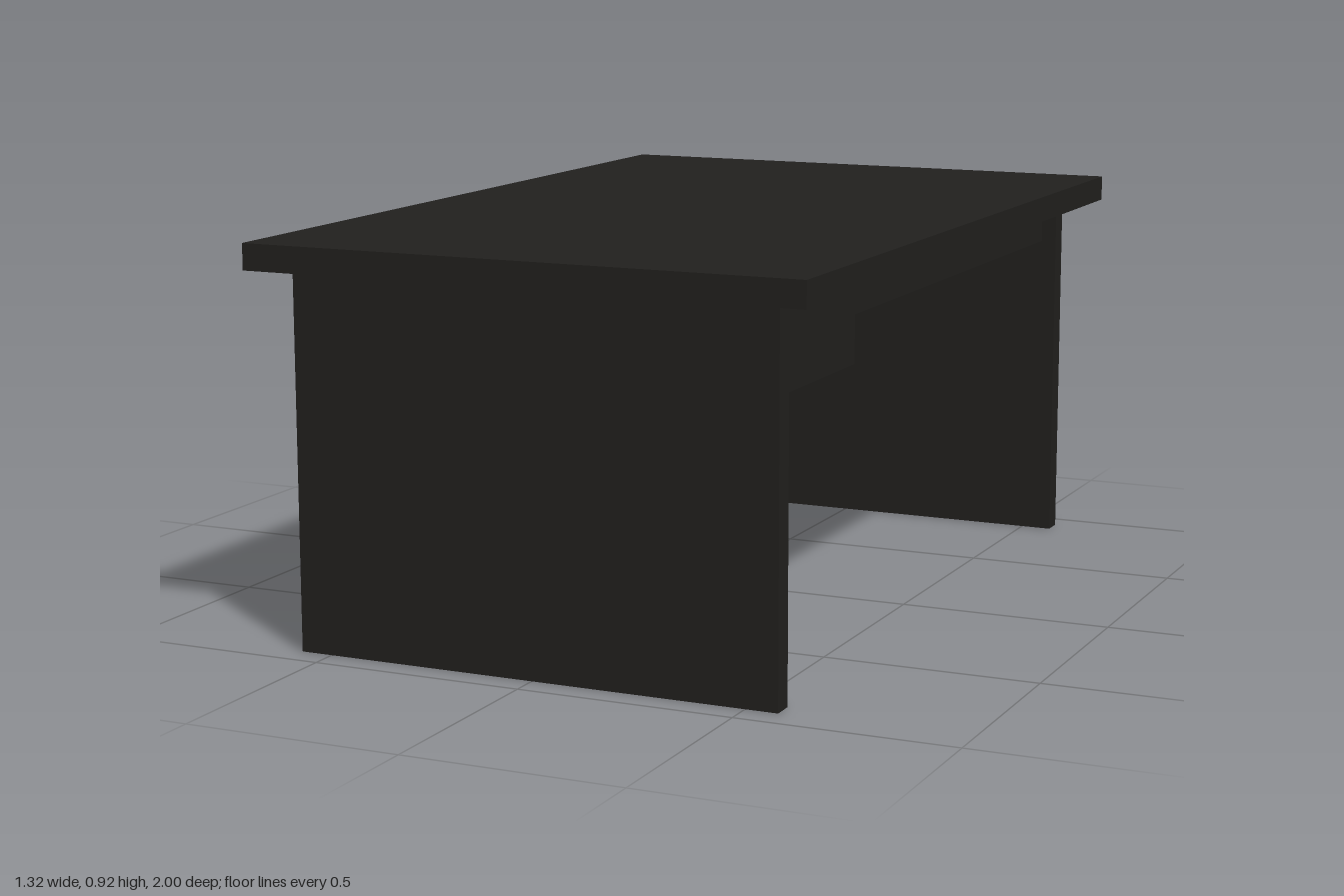
import * as THREE from 'three';

export function createModel() {
  const group = new THREE.Group();
  const material = new THREE.MeshStandardMaterial({ color: 0x21201e });

  // Box standing on height y0 and reaching y1
  function addBoard(name, width, y0, y1, depth, z = 0) {
    const mesh = new THREE.Mesh(new THREE.BoxGeometry(width, y1 - y0, depth), material);
    mesh.name = name;
    mesh.position.set(0, (y0 + y1) / 2, z);
    group.add(mesh);
  }

  // Overhanging desktop
  addBoard('desktop', 1.32, 0.86, 0.92, 2);

  // Slab legs at both ends
  addBoard('frontLeg', 1.15, 0, 0.86, 0.05, 0.91);
  addBoard('backLeg', 1.15, 0, 0.86, 0.05, -0.91);

  // Shallow box under the desktop, with a small gap to the legs
  addBoard('underDesktopBox', 1.08, 0.76, 0.86, 1.755);

  // Thin hanging panel along the middle
  addBoard('centrePanel', 0.05, 0.4, 0.76, 1.755);

  return group;
}
